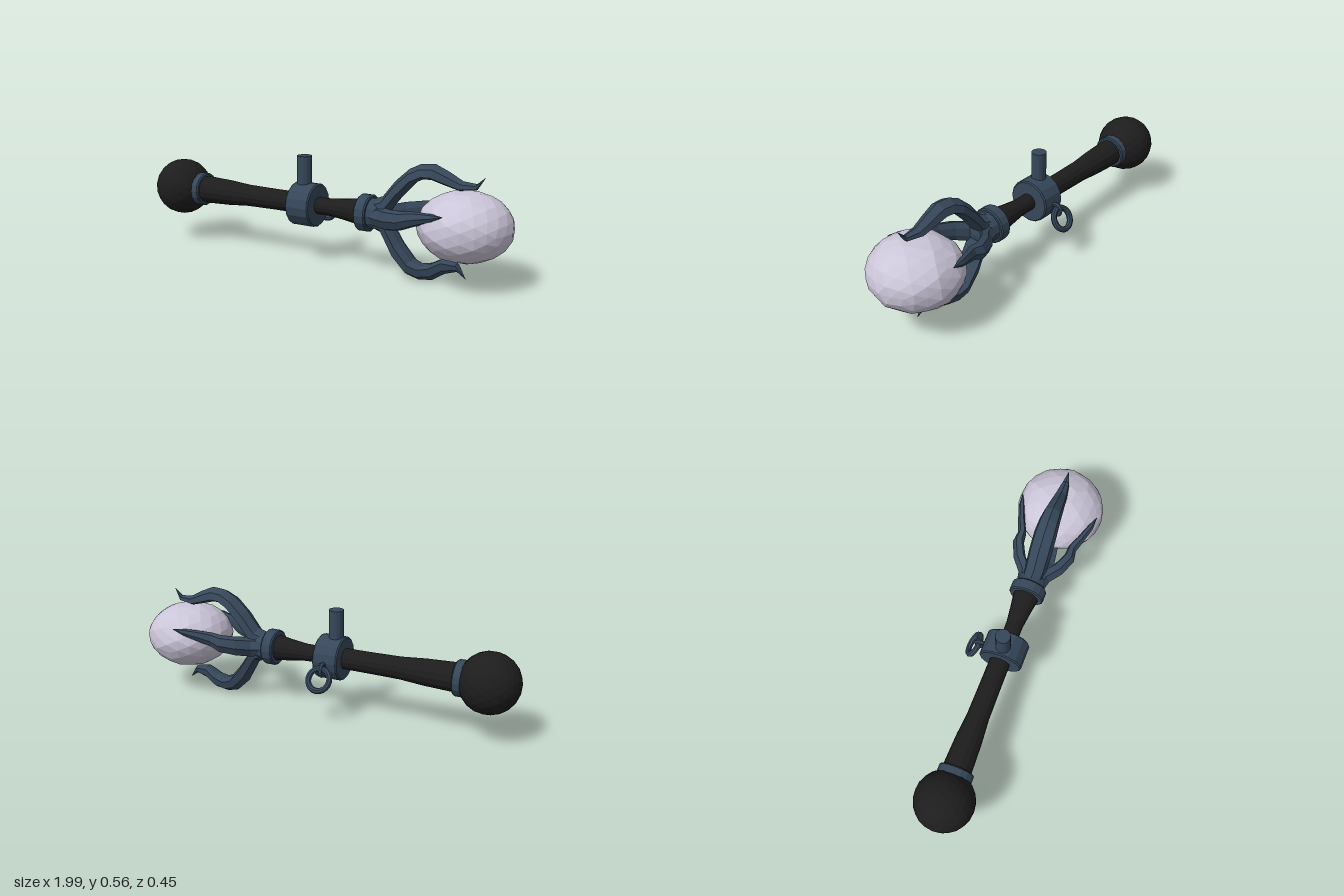
import * as THREE from 'three';

const AXIS_Y = 0.288;

export function createModel() {
  const model = new THREE.Group();
  model.name = 'scepter';

  const material = (name, color) => {
    const m = new THREE.MeshStandardMaterial({ color });
    m.name = name;
    return m;
  };
  const steel = material('blueSteel', 0x36475a);
  const black = material('blackGrip', 0x1d1d1d);
  const crystal = material('paleCrystal', 0xcac5d8);

  // Facets the geometry and adds it as a named part
  const add = (name, geometry, mat, x = 0, y = AXIS_Y, z = 0) => {
    const flat = geometry.index ? geometry.toNonIndexed() : geometry;
    flat.computeVertexNormals();
    const mesh = new THREE.Mesh(flat, mat);
    mesh.name = name;
    mesh.position.set(x, y, z);
    model.add(mesh);
    return mesh;
  };
  // Moves each vertex by a rule
  const deform = (geometry, rule) => {
    const p = geometry.attributes.position;
    const v = new THREE.Vector3();
    for (let i = 0; i < p.count; i++) {
      rule(v.fromBufferAttribute(p, i));
      p.setXYZ(i, v.x, v.y, v.z);
    }
    return geometry;
  };
  // Turned part along x; profile is [x, radius] pairs
  const turned = (profile, sides) => new THREE.LatheGeometry(
    profile.map(([x, r]) => new THREE.Vector2(r, x)), sides).rotateZ(-Math.PI / 2);

  // Pommel
  add('pommel', new THREE.IcosahedronGeometry(0.147, 3), black, -0.853);

  // Grip, with shallow lengthwise ridges
  const grip = turned([[-0.76, 0.074], [-0.66, 0.071], [-0.54, 0.066], [-0.42, 0.056], [-0.28, 0.054],
    [-0.13, 0.053], [0, 0.043], [0.08, 0.044], [0.16, 0.054], [0.25, 0.068], [0.3, 0.07]], 14);
  deform(grip, (v) => {
    const a = Math.atan2(v.z, v.y);
    const k = 0.98 + 0.05 * Math.cos(7 * a) * Math.cos(v.x * 4);
    v.y *= k;
    v.z *= k;
  });
  add('grip', grip, black);

  // Collars: a closed band with small bevels
  const band = (x0, x1, r) => turned([[x0, 0.02], [x0, r - 0.006], [x0 + 0.006, r],
    [x1 - 0.006, r], [x1, r - 0.006], [x1, 0.02]], 16);
  add('pommelCollar', band(-0.745, -0.695, 0.087), steel);
  add('middleCollar', band(-0.13, 0, 0.109), steel);
  add('headCollar', band(0.24, 0.3, 0.09), steel);
  add('clawSocket', turned([[0.29, 0.077], [0.34, 0.07], [0.39, 0.045], [0.4, 0]], 12), steel);

  // Post on the middle collar
  add('post', new THREE.CylinderGeometry(0.037, 0.037, 0.22, 14), steel, -0.081, 0.421);

  // Hanging ring and its lug on the back
  add('hangingRing', new THREE.TorusGeometry(0.055, 0.015, 8, 20).rotateX(Math.PI / 6),
    steel, -0.065, 0.222, -0.16);
  add('ringLug', new THREE.TorusGeometry(0.028, 0.011, 6, 14).rotateY(Math.PI / 2),
    steel, -0.065, 0.26, -0.122);

  // Crystal: a flattened, slightly uneven ball
  const orb = deform(new THREE.IcosahedronGeometry(1, 3), (v) => {
    const k = 0.985 + 0.018 * Math.sin(9 * v.x + 5 * v.y) * Math.cos(8 * v.z - 6 * v.y);
    v.multiplyScalar(k).multiply(new THREE.Vector3(0.223, 0.166, 0.226));
  });
  add('crystal', orb, crystal, 0.772, 0.289);

  // Claws: stations are [outer x, outer r, inner x, inner r, half width, lift]
  const claw = (name, stations, dir) => {
    const forward = new THREE.Vector3(1, 0, 0);
    const side = new THREE.Vector3().crossVectors(forward, dir);
    // Section points: [0 outer .. 1 inner, share of the half width]
    const section = [[0, 0], [0.3, 0.8], [0.8, 1], [1, 0.4], [1, -0.4], [0.8, -1], [0.3, -0.8]];
    const n = section.length;
    const pos = [];
    const index = [];
    for (const [xo, ro, xi, ri, w, lift] of stations) {
      for (const [t, s] of section) {
        const p = new THREE.Vector3(xo + (xi - xo) * t, lift, 0)
          .addScaledVector(dir, ro + (ri - ro) * t)
          .addScaledVector(side, s * w);
        pos.push(p.x, p.y, p.z);
      }
    }
    for (let i = 0; i < stations.length - 1; i++) {
      for (let j = 0; j < n; j++) {
        const a = i * n + j;
        const b = i * n + (j + 1) % n;
        index.push(a, b, b + n, a, b + n, a + n);
      }
    }
    const g = new THREE.BufferGeometry();
    g.setAttribute('position', new THREE.Float32BufferAttribute(pos, 3));
    g.setIndex(index);
    add(name, g, steel);
  };

  claw('upperClaw', [
    [0.3, 0.07, 0.3, 0, 0.05, 0], [0.355, 0.09, 0.38, 0.01, 0.055, 0], [0.42, 0.172, 0.45, 0.1, 0.058, 0],
    [0.49, 0.236, 0.52, 0.175, 0.057, 0], [0.55, 0.266, 0.57, 0.2, 0.052, 0], [0.62, 0.272, 0.61, 0.2, 0.047, 0],
    [0.69, 0.242, 0.67, 0.183, 0.04, 0], [0.755, 0.208, 0.74, 0.165, 0.032, 0],
    [0.82, 0.202, 0.82, 0.175, 0.018, 0], [0.86, 0.237, 0.86, 0.237, 0, 0],
  ], new THREE.Vector3(0, 1, 0));

  claw('lowerClaw', [
    [0.3, 0.07, 0.3, 0, 0.05, 0], [0.355, 0.09, 0.38, 0.01, 0.055, 0], [0.42, 0.206, 0.45, 0.118, 0.058, 0],
    [0.49, 0.272, 0.515, 0.195, 0.057, 0], [0.55, 0.288, 0.56, 0.212, 0.05, 0], [0.62, 0.278, 0.61, 0.2, 0.043, 0],
    [0.68, 0.238, 0.67, 0.166, 0.035, 0], [0.74, 0.218, 0.74, 0.178, 0.022, 0],
    [0.785, 0.248, 0.785, 0.248, 0, 0],
  ], new THREE.Vector3(0, -1, 0));

  const sideStations = [
    [0.3, 0.07, 0.3, 0, 0.045, 0], [0.36, 0.083, 0.38, 0.02, 0.052, -0.006], [0.42, 0.132, 0.44, 0.075, 0.05, 0.005],
    [0.5, 0.165, 0.51, 0.11, 0.045, 0.018], [0.55, 0.157, 0.56, 0.115, 0.038, 0.032],
    [0.61, 0.178, 0.62, 0.145, 0.03, 0.05], [0.68, 0.2, 0.69, 0.172, 0.018, 0.068], [0.745, 0.202, 0.745, 0.202, 0, 0.085],
  ];
  claw('frontClaw', sideStations, new THREE.Vector3(0, 0, 1));
  claw('backClaw', sideStations, new THREE.Vector3(0, 0, -1));

  return model;
}
